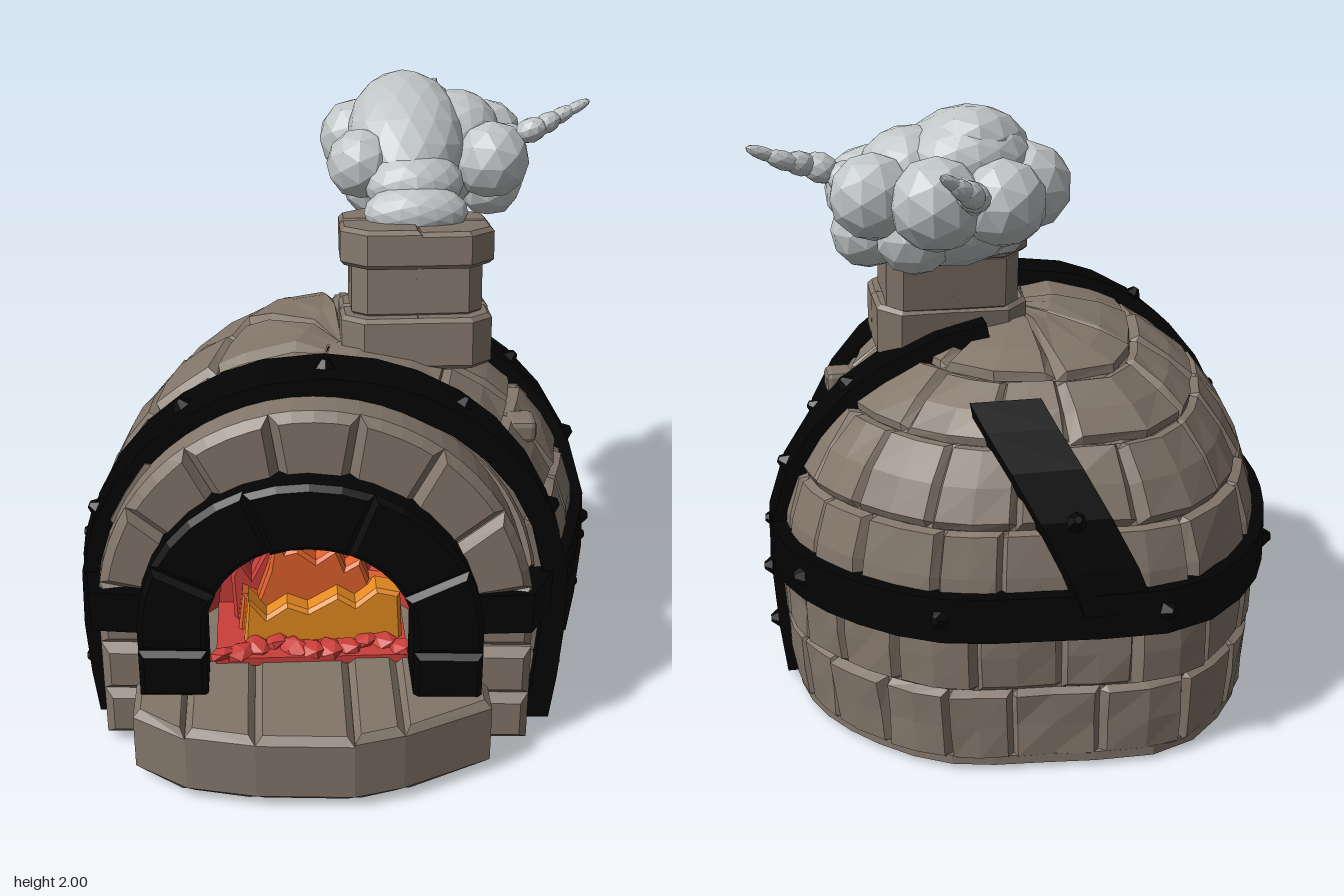
import * as THREE from 'three';
import { RoundedBoxGeometry } from 'three/addons/geometries/RoundedBoxGeometry.js';

const mat = (name, color, side = THREE.FrontSide) =>
  Object.assign(new THREE.MeshStandardMaterial({ color, side, flatShading: true }), { name });

let seed = 7;
const rnd = (s = 1) => {
  seed = (seed * 16807) % 2147483647;
  return (seed / 2147483647 - 0.5) * 2 * s;
};
const clamp = THREE.MathUtils.clamp;
const V = (x, y, z) => new THREE.Vector3(x, y, z);

// Plan outline of the oven, from front +x round the back to front -x
const plan = new THREE.CatmullRomCurve3([
  [0.64, 0.5], [0.7, 0.4], [0.77, 0.2], [0.83, -0.06], [0.79, -0.35], [0.65, -0.59], [0.41, -0.79], [0.09, -0.85],
  [-0.34, -0.86], [-0.62, -0.61], [-0.76, -0.3], [-0.83, 0], [-0.84, 0.3], [-0.81, 0.5],
].map(([x, z]) => V(x, 0, z)));

const axisX = (z) => -0.1 * clamp((z + 0.3) / 0.8, 0, 1);

// Domed wall: plan position a (0..1) at height y
function wall(a, y) {
  const p = plan.getPoint(clamp(a, 0, 1));
  const w = y > 0.5 ? Math.sqrt(Math.max(0, 1 - ((y - 0.5) / 0.76) ** 2)) : 1 - 0.04 * ((0.5 - y) / 0.46) ** 2;
  const c = axisX(p.z);
  const z = p.z < 0.1 && y > 0.5 ? 0.1 + (p.z - 0.1) * Math.pow(w, 0.58) : p.z;
  return V(c + (p.x - c) * w, y, z);
}
const outward = (p) => p.clone().sub(V(axisX(p.z), Math.min(p.y, 0.45), clamp(p.z, -0.3, 0.4))).normalize();

// Point on one side of the wall at a given height and depth
function wallAt(y, z, right) {
  let lo = right ? 0 : 1, hi = 0.55;
  for (let i = 0; i < 24; i++) {
    const m = (lo + hi) / 2;
    if (wall(m, y).z > z) lo = m; else hi = m;
  }
  return wall(lo, y);
}

function gridGeometry(rows) {
  const n = rows[0].length, pos = [], idx = [];
  rows.forEach((r) => r.forEach((p) => pos.push(p.x, p.y, p.z)));
  for (let j = 0; j < rows.length - 1; j++)
    for (let i = 0; i < n - 1; i++) {
      const k = j * n + i;
      idx.push(k, k + 1, k + n + 1, k, k + n + 1, k + n);
    }
  const g = new THREE.BufferGeometry();
  g.setAttribute('position', new THREE.Float32BufferAttribute(pos, 3));
  g.setIndex(idx);
  g.computeVertexNormals();
  return g;
}

// One wall stone: a patch whose rim sinks into the joints
function stoneGeometry(a0, a1, y0, y1) {
  const cuts = [0, 0.07, 0.5, 0.93, 1];
  const lift = 0.004 + rnd(0.006);
  return gridGeometry(cuts.map((v, j) => cuts.map((u, i) => {
    const p = wall(a0 + (a1 - a0) * u, y0 + (y1 - y0) * v);
    const rim = i % 4 === 0 || j % 4 === 0;
    return p.addScaledVector(outward(p), rim ? -0.02 : lift + rnd(0.006));
  })));
}

// Flat strap following points, with its width along one fixed direction
function strapGeometry(points, side, half, outs = points.map(outward)) {
  const s = side.clone().normalize();
  const corner = (o, w) => points.map((p, i) => p.clone().addScaledVector(outs[i], o).addScaledVector(s, w));
  return gridGeometry([corner(-0.04, -half), corner(0.04, -half), corner(0.04, half), corner(-0.04, half), corner(-0.04, -half)]);
}

export function createModel() {
  const model = new THREE.Group();
  const stone = mat('stone', 0x83766a, THREE.DoubleSide);
  const iron = mat('black iron', 0x030303, THREE.DoubleSide);
  const purple = mat('purple glow', 0x58244a, THREE.DoubleSide);
  const magenta = mat('magenta glow', 0x7d2b58, THREE.DoubleSide);
  const base = mat('dark purple', 0x581a40);
  const red = mat('ember red', 0xcc3f3a, THREE.DoubleSide);
  const orange = mat('flame orange', 0xe2622c);
  const yellow = mat('flame yellow', 0xee9022);
  const smoke = mat('smoke grey', 0xbfc4c5);
  const add = (name, g, m, parent = model) => {
    const mesh = new THREE.Mesh(g, m);
    mesh.name = name;
    parent.add(mesh);
    return mesh;
  };
  const group = (name) => {
    const g = new THREE.Group();
    g.name = name;
    model.add(g);
    return g;
  };
  const extrude = (pts, depth, bevel = 0.018) => new THREE.ExtrudeGeometry(
    new THREE.Shape(pts.map(([x, y]) => new THREE.Vector2(x, y))),
    { depth: depth - 2 * bevel, bevelEnabled: bevel > 0, bevelThickness: bevel, bevelSize: bevel, bevelOffset: -bevel, bevelSegments: 1 },
  ).translate(0, 0, bevel);

  // Wall courses with staggered stones, over a sunken lining
  const walls = group('wallStones');
  const levels = [0.03, 0.27, 0.5, 0.79, 1.02, 1.17, 1.26], counts = [19, 19, 17, 14, 10, 6];
  counts.forEach((n, r) => {
    const cuts = [0];
    for (let i = 1; i < n; i++) cuts.push((i + (r % 2 ? 0.25 : -0.25) + rnd(0.18)) / n);
    cuts.push(1);
    for (let i = 0; i < n; i++) add('wallStone', stoneGeometry(cuts[i], cuts[i + 1], levels[r], levels[r + 1]), stone, walls);
  });
  const steps = [...Array(31).keys()].map((i) => i / 30);
  add('wallLining', gridGeometry(steps.map((v) => steps.map((u) => {
    const p = wall(u, 0.04 + 1.22 * Math.sin(v * Math.PI / 2));
    return p.addScaledVector(outward(p), -0.03);
  }))), stone);
  const loose = add('looseStone', new RoundedBoxGeometry(0.1, 0.08, 0.11, 1, 0.02), stone);
  loose.position.copy(wallAt(0.97, 0.2, true));

  // Underside
  const rim = steps.map((u) => wall(u, 0.04)).map((p) => [p.x, -p.z]);
  add('undersideStone', extrude(rim, 0.03, 0).rotateX(-Math.PI / 2).translate(0, 0.018, 0), stone);
  const disc = [...Array(18).keys()].map((i) => {
    const t = i / 18 * Math.PI * 2, k = 1 + rnd(0.06);
    return [-0.02 + 0.65 * k * Math.cos(t), 0.08 + 0.6 * k * Math.sin(t)];
  });
  add('underside', extrude(disc, 0.04, 0.018).rotateX(-Math.PI / 2), base);

  // Arched front: stone ring and the black surround
  const archPoint = (t, hw, top, bottom) => {
    const leg = 0.2, spring = 0.5;
    if (t < leg) return [hw, bottom + (spring - bottom) * t / leg];
    if (t > 1 - leg) return [-hw, bottom + (spring - bottom) * (1 - t) / leg];
    const f = (t - leg) / (1 - 2 * leg) * Math.PI;
    return [hw * Math.cos(f), spring + (top - spring) * Math.sin(f)];
  };
  const skew = new THREE.Matrix4().set(1, 0, 0, 0, 0, 1, 0, 0, 0.06, 0, 1, 0, 0, 0, 0, 1);
  function arch(name, n, inner, outer, bottom, z, depth, cx, m, bevel) {
    const g = group(name);
    for (let i = 0; i < n; i++) {
      const ts = [0, 1, 2, 3, 4].map((k) => (i + k / 4) / n);
      const pts = [...ts.map((t) => archPoint(t, ...outer, bottom)), ...ts.reverse().map((t) => archPoint(t, ...inner, bottom))];
      add(name + 'Block', extrude(pts, depth + rnd(0.012), bevel).applyMatrix4(skew).translate(cx, 0, z), m, g);
    }
  }
  arch('frontArch', 13, [0.5, 0.98], [0.7, 1.24], 0.03, 0.41, 0.22, -0.11, stone, 0.028);
  arch('ironSurround', 7, [0.33, 0.81], [0.55, 1.04], 0.26, 0.48, 0.23, -0.13, iron, 0.018);

  // Hearth slab
  const hearth = group('hearth');
  const front = [[-0.7, 0.76], [-0.53, 0.88], [-0.31, 0.93], [0, 0.95], [0.16, 0.91], [0.45, 0.78]];
  for (let i = 0; i < front.length - 1; i++) {
    const [x0, z0] = front[i], [x1, z1] = front[i + 1];
    const g = extrude([[x0, -0.1], [x1, -0.1], [x1, -z1], [x0, -z0]], 0.245 + rnd(0.01), 0.024);
    add('hearthStone', g.rotateX(-Math.PI / 2).translate(0, 0.025, 0), stone, hearth);
  }

  // Fire chamber with a flattened back, and glowing tongues on its wall
  const chamber = (name, theta, k, m, jag) => {
    const g = new THREE.SphereGeometry(1, 14, 6, Math.PI, Math.PI, theta, Math.PI / 2 - theta);
    const p = g.attributes.position;
    for (let i = 0; i < p.count; i++) {
      if (jag && i % 2) p.setY(i, p.getY(i) * jag);
      p.setZ(i, Math.max(p.getZ(i), -0.5));
    }
    add(name, g.scale(0.42 * k, 0.6 * k, 0.8 * k), m).position.set(-0.13, 0.25, 0.55);
  };
  chamber('fireChamber', 0, 1, purple);
  chamber('tallGlow', 0.95, 0.97, magenta, 0.75);
  chamber('lowGlow', 1.25, 0.94, red, 0.65);

  // Flames and embers
  const flame = (name, pts, z, m) => add(name, extrude(pts, 0.1, 0.012), m).position.z = z;
  flame('backFlame', [[-0.38, 0.26], [-0.39, 0.46], [-0.36, 0.52], [-0.32, 0.45], [-0.27, 0.56], [-0.23, 0.71], [-0.18, 0.62],
    [-0.04, 0.65], [0, 0.57], [0.06, 0.58], [0.09, 0.48], [0.16, 0.47], [0.2, 0.26]], 0.18, red);
  flame('tallFlame', [[-0.37, 0.26], [-0.35, 0.43], [-0.3, 0.4], [-0.26, 0.52], [-0.23, 0.67], [-0.2, 0.59],
    [-0.16, 0.6], [-0.1, 0.55], [-0.03, 0.6], [0, 0.52], [0.05, 0.55], [0.08, 0.47], [0.15, 0.46], [0.2, 0.26]], 0.25, orange);
  flame('lowFlame', [[-0.35, 0.26], [-0.33, 0.45], [-0.27, 0.38], [-0.2, 0.43], [-0.13, 0.4], [-0.03, 0.46], [0.03, 0.42],
    [0.1, 0.48], [0.18, 0.46], [0.19, 0.26]], 0.32, yellow);
  const embers = group('embers');
  add('emberBed', new THREE.BoxGeometry(0.64, 0.03, 0.38), red, embers).position.set(-0.12, 0.272, 0.33);
  for (let i = 0; i < 11; i++) {
    const e = add('ember', new THREE.IcosahedronGeometry(1, 0), red, embers);
    e.scale.set(0.045, 0.025, 0.06);
    e.position.set(-0.42 + i * 0.06, 0.29, 0.46 + rnd(0.04));
    e.rotation.set(rnd(0.3), rnd(), rnd(0.4));
  }

  // Iron straps and their studs
  const straps = group('straps');
  const stud = (p) => {
    const o = outward(p), s = add('stud', new THREE.CylinderGeometry(0.012, 0.035, 0.03, 6), iron, straps);
    s.position.copy(p).addScaledVector(o, 0.05);
    s.quaternion.setFromUnitVectors(V(0, 1, 0), o);
  };
  const hoop = [V(0.38, 0.53, 0.63), V(0.56, 0.53, 0.635), ...steps.map((u) => wall(u, 0.53)), V(-0.8, 0.53, 0.565), V(-0.62, 0.53, 0.585)];
  add('hoopStrap', strapGeometry(hoop, V(0, 1, 0), 0.072, hoop.map((p) => V(p.x, 0, p.z).normalize())), iron, straps);
  hoop.forEach((p, i) => { if (i > 2 && i < 32 && i % 4 === 0) stud(p); });

  const ys = [0.035, 0.2, 0.4, 0.6, 0.78, 0.92, 1.04, 1.13, 1.2, 1.24];
  const frontStrap = [...ys.map((y) => wallAt(y, 0.45 - 0.03 * y, true)), V(-0.07, 1.26, 0.41),
    ...ys.map((y) => wallAt(y, 0.34 + 0.05 * y, false)).reverse()];
  add('frontStrap', strapGeometry(frontStrap, V(0, 0, 1), 0.097), iron, straps);
  [1, 4, 7, 10, 13, 16, 19].forEach((i) => stud(frontStrap[i]));

  const sideStrap = ys.map((y) => wallAt(y, -0.05 - 0.14 * Math.max(0, y - 0.5) / 0.74, true));
  add('sideStrap', strapGeometry(sideStrap, V(0, 0, 1), 0.083), iron, straps);
  [1, 2, 4, 6].forEach((i) => stud(sideStrap[i]));

  const backStrap = [[0.575, 0.53], [0.567, 0.66], [0.555, 0.8], [0.54, 0.93], [0.52, 1.03], [0.5, 1.1]].map(([a, y]) => wall(a, y));
  add('backStrap', strapGeometry(backStrap, V(1, 0, 0), 0.11), iron, straps);
  stud(backStrap[2]);

  // Chimney: three tiers of corner-cut bricks, leaning back
  const chimney = group('chimney');
  for (const [y, h, z, w, d, cut] of [[1.16, 0.18, 0.015, 0.25, 0.19, 0.07], [1.32, 0.2, -0.03, 0.215, 0.165, 0.05], [1.495, 0.125, -0.025, 0.25, 0.195, 0.085]]) {
    const tier = new THREE.Group();
    tier.name = 'chimneyTier';
    tier.position.set(0.245, y, z);
    tier.rotation.x = -0.13;
    chimney.add(tier);
    for (const sx of [-1, 1]) for (const sz of [-1, 1]) {
      const pts = [[-0.01, -0.01], [w, -0.01], [w, d - cut], [w - cut, d], [-0.01, d]].map(([px, pz]) => [px * sx, pz * sz]);
      const b = add('brick', extrude(pts, h + rnd(0.008), 0.014).rotateX(-Math.PI / 2), stone, tier);
      b.rotation.y = rnd(0.03);
    }
  }

  // Smoke: puffs [x, y, z, rx, ry, rz, tilt]
  const cloud = group('smoke');
  const puff = ([x, y, z, rx, ry = rx, rz = rx, tilt = 0]) => {
    const s = add('puff', new THREE.IcosahedronGeometry(1, rx > 0.15 ? 2 : 1), smoke, cloud);
    s.position.set(x, y, z);
    s.scale.set(rx, ry, rz);
    s.rotation.set(tilt, rx === rz ? rnd(1.5) : 0, 0);
  };
  [[0.25, 1.645, -0.05, 0.175, 0.09, 0.1], [0.25, 1.71, -0.16, 0.17, 0.11, 0.14], [0.24, 1.82, -0.36, 0.2, 0.16, 0.3, 0.4],
    [0.25, 1.845, -0.5, 0.19, 0.14, 0.17], [0.08, 1.76, -0.22, 0.12], [0.08, 1.77, -0.52, 0.135], [0.18, 1.75, -0.66, 0.13],
    [0.37, 1.75, -0.65, 0.14], [0.54, 1.76, -0.55, 0.13], [0.53, 1.74, -0.32, 0.135], [0.54, 1.63, -0.4, 0.115],
    [0.42, 1.79, -0.45, 0.16], [0.3, 1.69, -0.44, 0.22, 0.17, 0.22], [0.15, 1.65, -0.36, 0.13], [0.42, 1.64, -0.54, 0.12]].forEach(puff);

  // Trailing wisps
  const wisp = (pts) => {
    const curve = new THREE.CatmullRomCurve3(pts.map((p) => V(...p)));
    for (let i = 0; i < 5; i++) {
      const p = curve.getPoint(i / 4), t = curve.getTangent(i / 4);
      const s = add('wisp', new THREE.IcosahedronGeometry(1, 1), smoke, cloud);
      s.position.copy(p);
      s.scale.set(0.064 - i * 0.011, 0.052 - i * 0.008, 0.06);
      s.quaternion.setFromUnitVectors(V(0, 0, 1), t);
    }
  };
  wisp([[0.6, 1.79, -0.41], [0.7, 1.83, -0.39], [0.77, 1.85, -0.44], [0.84, 1.88, -0.46]]);
  wisp([[0.3, 1.78, -0.72], [0.29, 1.8, -0.8], [0.32, 1.82, -0.85], [0.36, 1.85, -0.88]]);
  return model;
}
